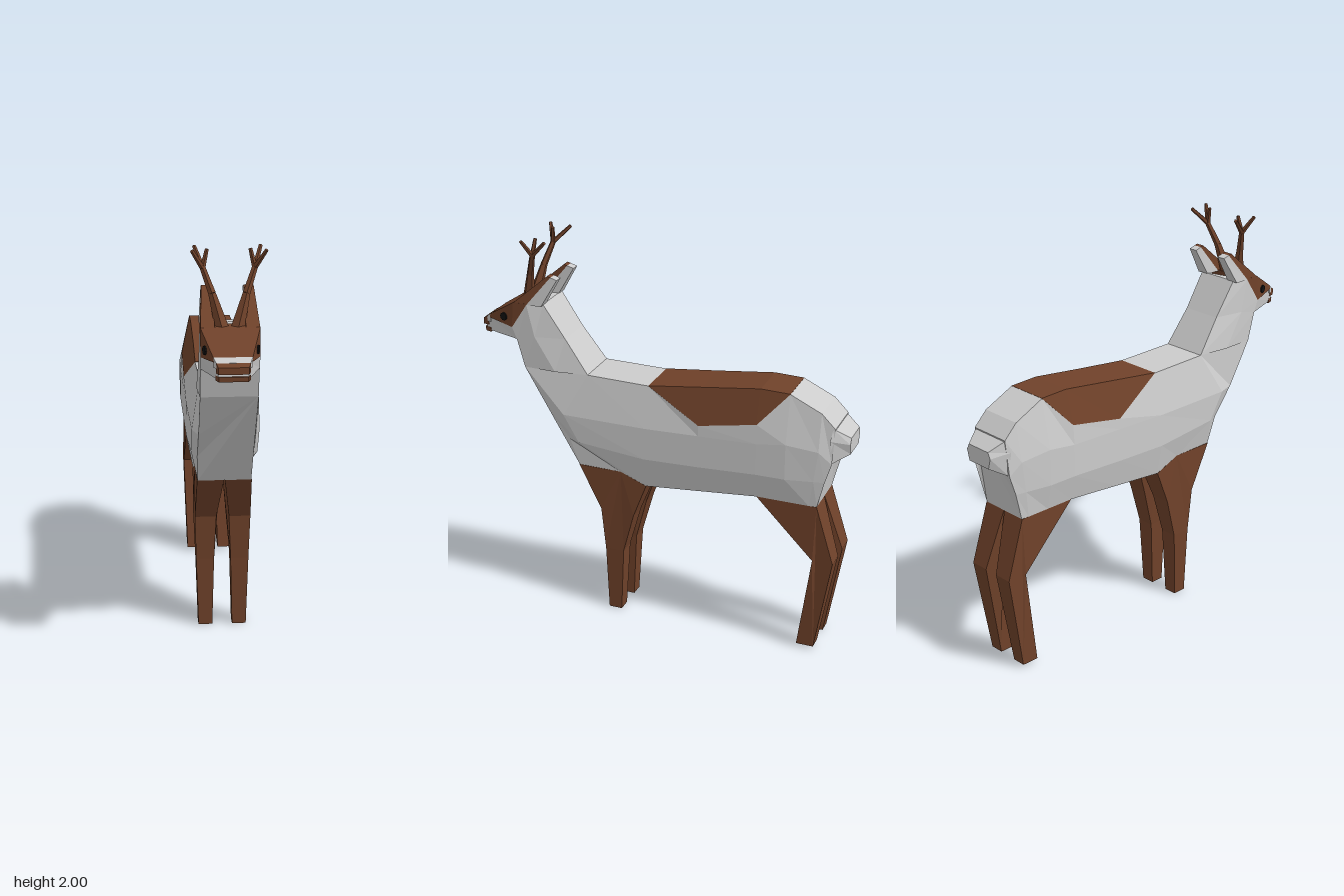
import * as THREE from 'three';

const mat = (color) => new THREE.MeshStandardMaterial({ color, flatShading: true, side: THREE.DoubleSide });

// Skin a list of rings; half rings [x, y, z] are mirrored across x into closed ones.
function loft(rings, mirror = true) {
  const full = mirror
    ? rings.map((r) => [...r, ...r.slice().reverse().map(([x, y, z]) => [-x, y, z])])
    : rings;
  const n = full[0].length, last = full.length - 1, pos = [];
  const tri = (a, b, c) => pos.push(...a, ...b, ...c);
  for (let i = 0; i < last; i++) {
    for (let j = 0; j < n; j++) {
      const k = (j + 1) % n;
      tri(full[i][j], full[i][k], full[i + 1][k]);
      tri(full[i][j], full[i + 1][k], full[i + 1][j]);
    }
  }
  for (let j = 1; j < n - 1; j++) {
    tri(full[0][0], full[0][j + 1], full[0][j]);
    tri(full[last][0], full[last][j], full[last][j + 1]);
  }
  const g = new THREE.BufferGeometry();
  g.setAttribute('position', new THREE.Float32BufferAttribute(pos, 3));
  g.computeVertexNormals();
  return g;
}

// Piecewise-linear lookup in [key, value] pairs with rising keys.
function lookup(table, t) {
  for (let i = 1; i < table.length; i++) {
    const [a, va] = table[i - 1], [b, vb] = table[i];
    if (t <= b) return va + (vb - va) * Math.max(0, (t - a) / (b - a));
  }
  return table[table.length - 1][1];
}

// Leg from a side outline of [z, y], its width changing with height.
const INNER = [[0, 0.05], [0.55, 0.037], [0.81, 0.002]];
const OUTER = [[0, 0.12], [0.59, 0.138], [0.82, 0.133]];
function legGeometry(outline) {
  const shape = new THREE.Shape(outline.map(([z, y]) => new THREE.Vector2(z, y)));
  const g = new THREE.ExtrudeGeometry(shape, { depth: 1, bevelEnabled: false });
  const p = g.attributes.position;
  for (let i = 0; i < p.count; i++) {
    const z = p.getX(i), y = p.getY(i);
    p.setXYZ(i, lookup(p.getZ(i) < 0.5 ? OUTER : INNER, y), y, z);
  }
  g.computeVertexNormals();
  return g;
}

// Tapered stick between two points.
function stick(a, b, ra, rb) {
  const from = new THREE.Vector3(...a), to = new THREE.Vector3(...b);
  const dir = to.clone().sub(from);
  const g = new THREE.CylinderGeometry(rb, ra, dir.length(), 5);
  g.applyQuaternion(new THREE.Quaternion().setFromUnitVectors(new THREE.Vector3(0, 1, 0), dir.normalize()));
  const mid = from.add(to).multiplyScalar(0.5);
  return g.translate(mid.x, mid.y, mid.z);
}

export function createModel() {
  const model = new THREE.Group();
  model.name = 'deer';
  const grey = mat(0xcccccc), brown = mat(0x70422a), black = mat(0x111111);
  const add = (name, geometry, material, parent = model) => {
    const m = new THREE.Mesh(geometry, material);
    m.name = name;
    parent.add(m);
    return m;
  };

  // Body, chest to rump: top, middle, low and bottom points of each section
  add('body', loft([
    [[0.135, 1.32, 0.72], [0.135, 1.1, 0.59], [0.135, 0.96, 0.48], [0.13, 0.82, 0.43]],
    [[0.118, 1.32, 0.38], [0.162, 1.1, 0.5], [0.16, 0.96, 0.42], [0.133, 0.82, 0.2]],
    [[0.12, 1.315, 0.05], [0.165, 1.1, 0.05], [0.165, 0.93, 0.06], [0.133, 0.765, 0.06]],
    [[0.163, 1.165, -0.23], [0.165, 1.11, -0.23], [0.165, 0.94, -0.23], [0.133, 0.792, -0.23]],
    [[0.158, 1.22, -0.53], [0.165, 1.12, -0.53], [0.165, 0.955, -0.53], [0.133, 0.82, -0.53]],
    [[0.11, 1.385, -0.68], [0.163, 1.14, -0.68], [0.163, 0.955, -0.68], [0.133, 0.82, -0.68]],
    [[0.11, 1.31, -0.84], [0.145, 1.12, -0.84], [0.145, 0.96, -0.82], [0.133, 0.82, -0.8]],
    [[0.11, 1.24, -0.91], [0.13, 1.06, -0.905], [0.135, 0.96, -0.875], [0.13, 0.82, -0.84]],
  ]), grey);

  // Brown saddle patch over the back
  add('backPatch', loft([
    [[0.119, 1.316, 0.05], [0.12, 1.315, 0.05]],
    [[0.113, 1.351, -0.23], [0.163, 1.165, -0.23]],
    [[0.11, 1.39, -0.53], [0.158, 1.22, -0.53]],
    [[0.109, 1.386, -0.68], [0.11, 1.385, -0.68]],
  ]), brown);

  add('tail', loft([
    [[0.11, 1.24, -0.9], [0.128, 1.18, -0.89], [0.12, 1.06, -0.9]],
    [[0.07, 1.19, -0.98], [0.085, 1.16, -0.98], [0.07, 1.105, -0.98]],
  ]), grey);

  // Neck, top to base: back, side and front points
  add('neck', loft([
    [[0.11, 1.66, 0.62], [0.135, 1.655, 0.7], [0.135, 1.525, 0.785]],
    [[0.105, 1.49, 0.505], [0.137, 1.49, 0.66], [0.135, 1.465, 0.76]],
    [[0.118, 1.32, 0.38], [0.142, 1.32, 0.55], [0.135, 1.32, 0.72]],
  ]), grey);

  // Head and muzzle
  add('head', loft([
    [[0.088, 1.56, 0.93], [0.088, 1.54, 0.935]],
    [[0.135, 1.657, 0.775], [0.135, 1.525, 0.785]],
    [[0.135, 1.66, 0.7], [0.135, 1.655, 0.7]],
  ]), brown);
  add('jaw', loft([
    [[0.074, 1.54, 0.95], [0.066, 1.465, 0.965]],
    [[0.135, 1.525, 0.785], [0.135, 1.465, 0.76]],
  ]), grey);
  add('muzzleStripe', loft([
    [[0.076, 1.54, 0.956], [0.076, 1.515, 0.956]],
    [[0.088, 1.56, 0.93], [0.088, 1.515, 0.93]],
  ]), grey);
  add('nose', loft([
    [[0.068, 1.525, 0.98], [0.068, 1.493, 0.98]],
    [[0.077, 1.54, 0.955], [0.077, 1.493, 0.945]],
  ]), brown);
  add('lowerLip', loft([
    [[0.066, 1.48, 0.972], [0.066, 1.457, 0.97]],
    [[0.078, 1.48, 0.935], [0.078, 1.457, 0.935]],
  ]), brown);

  // Paired parts, built on the left and mirrored
  const left = new THREE.Group();
  left.name = 'leftSide';

  add('frontLeg', legGeometry([[0.43, 0.82], [0.2, 0.82], [0.06, 0.765], [0.13, 0.58], [0.19, 0.36],
    [0.21, 0], [0.28, 0], [0.29, 0.36], [0.31, 0.59]]), brown, left);
  add('hindLeg', legGeometry([[-0.53, 0.82], [-0.84, 0.82], [-0.935, 0.52],
    [-0.85, 0.015], [-0.76, 0.015], [-0.83, 0.52]]), brown, left);

  // Ear halves: brown front, grey back, each [back z, y] and [front z, y]
  const ear = (tip, base) => loft([[tip, 0.075, 0.12], [base, 0.07, 0.135]].map(([[b, f], xi, xo]) => [
    [xo, b[1], b[0]], [xo, f[1], f[0]], [xi, f[1], f[0]], [xi, b[1], b[0]],
  ]), false);
  add('earFront', ear([[0.57, 1.81], [0.588, 1.815]], [[0.7, 1.655], [0.775, 1.655]]), brown, left);
  add('earBack', ear([[0.535, 1.8], [0.57, 1.81]], [[0.62, 1.655], [0.7, 1.655]]), grey, left);

  const eye = new THREE.CylinderGeometry(0.021, 0.021, 0.02, 10).rotateZ(Math.PI / 2).rotateY(-0.28);
  add('eye', eye.translate(0.115, 1.57, 0.835), black, left);

  // Antler: stem, fork and three tines
  const antler = new THREE.Group();
  antler.name = 'antler';
  left.add(antler);
  const fork = [0.078, 1.8, 0.7], crown = [0.118, 1.91, 0.665];
  add('stem', stick([0.034, 1.64, 0.735], fork, 0.034, 0.018), brown, antler);
  add('beam', stick(fork, crown, 0.018, 0.014), brown, antler);
  for (const tip of [[0.168, 1.995, 0.7], [0.098, 1.995, 0.655], [0.152, 1.995, 0.58]]) {
    add('tine', stick(crown, tip, 0.013, 0.009), brown, antler);
  }

  const right = left.clone();
  right.name = 'rightSide';
  right.scale.x = -1;
  model.add(left, right);
  return model;
}
